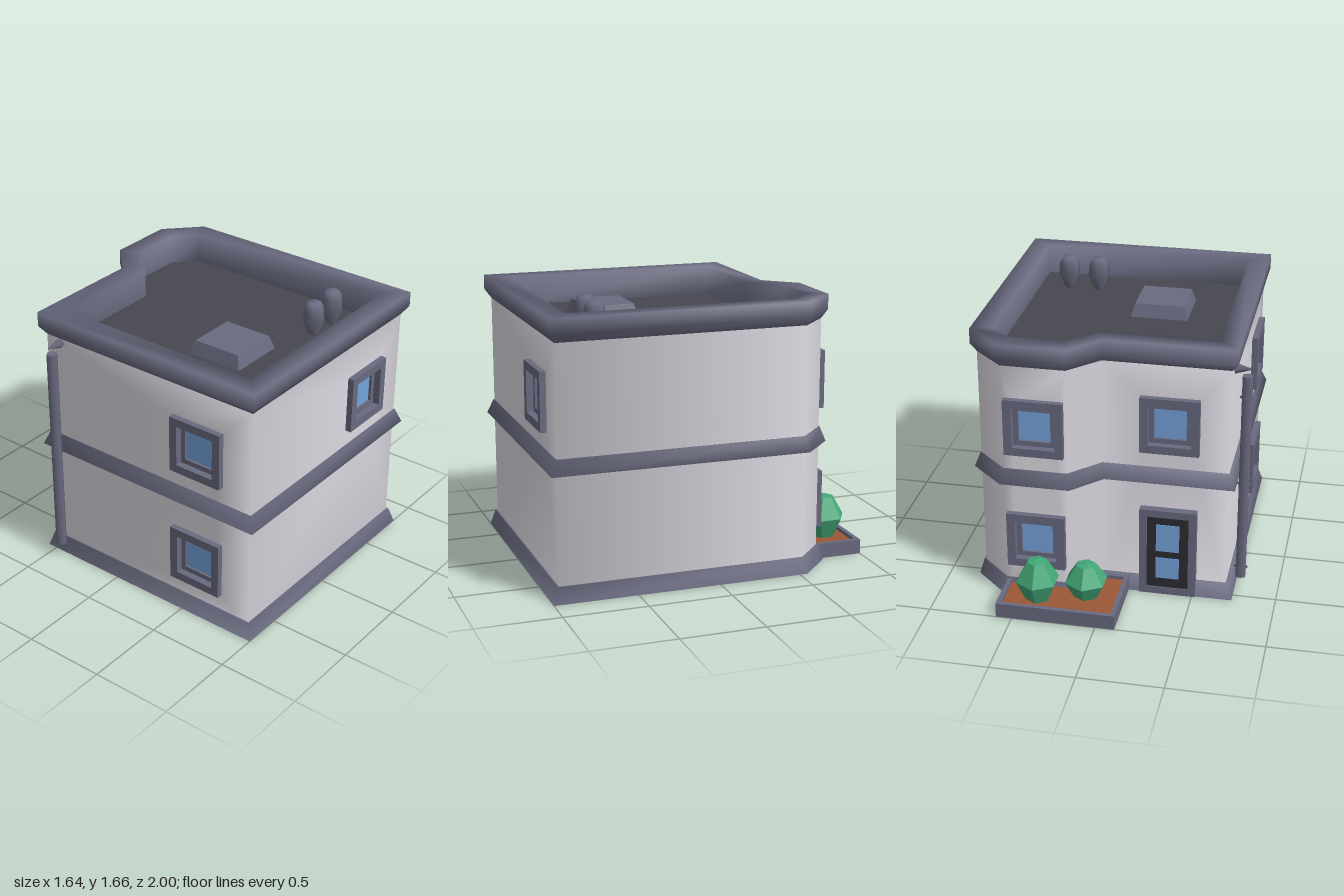
import * as THREE from 'three';

const mat = (name, color, side = THREE.FrontSide) => Object.assign(new THREE.MeshStandardMaterial({ color, side }), { name });
const M = {
  plaster: mat('plaster', 0xdfdce4, THREE.DoubleSide),
  trim: mat('slate trim', 0x696a7f),
  roof: mat('dark roof', 0x47474f),
  door: mat('door black', 0x2c2c33),
  glass: mat('window glass', 0x74a3dc),
  leaf: mat('leaf green', 0x42a878),
  soil: mat('soil', 0x9c5838),
};

// Footprint of the walls as [x, z]; the back has a projecting bay
const PLAN = [[-0.70, 0.96], [0.78, 0.96], [0.78, -0.53], [0.60, -0.70], [0.22, -0.70], [0.05, -0.52], [-0.70, -0.52]]
  .map(([x, z]) => new THREE.Vector2(x, z));
const N = PLAN.length;
const WALL_TOP = 1.495, DECK = 1.45;

// Each wall: start corner, direction, length and outward normal
const WALLS = PLAN.map((start, i) => {
  const dir = PLAN[(i + 1) % N].clone().sub(start);
  const length = dir.length();
  dir.normalize();
  return { start, dir, length, normal: new THREE.Vector2(-dir.y, dir.x) };
});

// Corner mitres, scaled so that an offset of one moves both walls by one
const MITRES = WALLS.map(({ normal }, i) => {
  const before = WALLS[(i + N - 1) % N].normal;
  return normal.clone().add(before).divideScalar(1 + normal.dot(before));
});
const offsetPlan = (d) => PLAN.map((p, i) => p.clone().addScaledVector(MITRES[i], d));

// Windows as [wall number, distance along the wall, height of the centre]
const WINDOWS = [[0, 1.11, 1.115], [3, 0.19, 0.375], [3, 0.19, 1.115], [5, 0.40, 1.115], [6, 1.11, 0.375], [6, 1.11, 1.115]];

const rect = (S, w, h, x = 0, y = 0) => new S([[-1, -1], [1, -1], [1, 1], [-1, 1]]
  .map(([a, b]) => new THREE.Vector2(x + a * w / 2, y + b * h / 2)));

// One wall with window openings; normals blend softly around the house corners
function wallGeometry(i) {
  const { start, dir, length, normal } = WALLS[i];
  const shape = rect(THREE.Shape, length, WALL_TOP, length / 2, WALL_TOP / 2);
  for (const [wall, u, y] of WINDOWS) if (wall === i) shape.holes.push(rect(THREE.Path, 0.27, 0.27, u, y));
  const g = new THREE.ShapeGeometry(shape);
  const pos = g.attributes.position, nor = g.attributes.normal;
  for (let v = 0; v < pos.count; v++) {
    const u = pos.getX(v);
    const n = u < 0.001 ? MITRES[i] : u > length - 0.001 ? MITRES[(i + 1) % N] : normal;
    const unit = n.clone().normalize();
    nor.setXYZ(v, unit.x, 0, unit.y);
    pos.setXYZ(v, start.x + dir.x * u, pos.getY(v), start.y + dir.y * u);
  }
  return g;
}

// Sweep an open [offset, y] profile around the footprint, softly shaded
function band(profile) {
  const pos = [], index = [];
  profile.forEach(([d, y], j) => {
    offsetPlan(d).forEach((p, i) => {
      pos.push(p.x, y, p.y);
      if (j === 0) return;
      const k = (i + 1) % N, lo = (j - 1) * N, hi = j * N;
      index.push(lo + i, lo + k, hi + k, lo + i, hi + k, hi + i);
    });
  });
  const g = new THREE.BufferGeometry();
  g.setAttribute('position', new THREE.Float32BufferAttribute(pos, 3));
  g.setIndex(index);
  g.computeVertexNormals();
  return g;
}

// Flat sheet following the footprint, facing up (1) or down (-1)
function sheet(d, facing) {
  const shape = new THREE.Shape(offsetPlan(d).map((p) => new THREE.Vector2(p.x, -facing * p.y)));
  return new THREE.ShapeGeometry(shape).rotateX(-facing * Math.PI / 2);
}

// Rectangular frame, standing in the xy plane, growing toward +z
function frame(w, h, t, depth) {
  const s = rect(THREE.Shape, w, h);
  s.holes.push(rect(THREE.Path, w - 2 * t, h - 2 * t));
  return new THREE.ExtrudeGeometry(s, { depth, bevelEnabled: false });
}

const lathe = (pts, sides) => new THREE.LatheGeometry(pts.map(([r, y]) => new THREE.Vector2(r, y)), sides);

function faceted(geometry) {
  const g = geometry.toNonIndexed();
  g.computeVertexNormals();
  return g;
}

function add(parent, name, geometry, material, x = 0, y = 0, z = 0) {
  const m = new THREE.Mesh(geometry, material);
  m.name = name;
  m.position.set(x, y, z);
  parent.add(m);
  return m;
}

// Group standing on a wall, its +z pointing outward
function onWall(parent, name, i, u, y) {
  const { start, dir, normal } = WALLS[i];
  const g = new THREE.Group();
  g.name = name;
  g.position.set(start.x + dir.x * u, y, start.y + dir.y * u);
  g.rotation.y = Math.atan2(normal.x, normal.y);
  parent.add(g);
  return g;
}

export function createModel() {
  const model = new THREE.Group();
  model.name = 'townHouse';

  // Shell, roof and the three surrounding mouldings
  for (let i = 0; i < N; i++) add(model, 'wall', wallGeometry(i), M.plaster);
  add(model, 'roofDeck', sheet(-0.088, 1), M.roof, 0, DECK, 0);
  add(model, 'underside', sheet(0.04, -1), M.trim);
  add(model, 'baseMoulding', band([[0.04, 0], [0.012, 0.095], [0, 0.095]]), M.trim);
  add(model, 'middleMoulding', band([[0, 0.745], [0.04, 0.745], [0.005, 0.835], [0, 0.835]]), M.trim);
  add(model, 'parapet', band([[0, 1.488], [0.036, 1.54], [0.036, 1.63], [-0.088, 1.63], [-0.088, DECK]]), M.trim);

  // Windows with recessed panes
  for (const [wall, u, y] of WINDOWS) {
    const g = onWall(model, 'window', wall, u, y);
    add(g, 'windowFrame', frame(0.35, 0.35, 0.05, 0.067), M.trim, 0, 0, -0.03);
    add(g, 'windowSash', frame(0.25, 0.25, 0.03, 0.025), M.trim, 0, 0, -0.03);
    add(g, 'windowPane', new THREE.BoxGeometry(0.2, 0.2, 0.006), M.glass, 0, 0, -0.024);
  }

  // Back door
  const door = onWall(model, 'door', 5, 0.40, 0);
  add(door, 'doorFrame', frame(0.34, 0.57, 0.045, 0.05), M.trim, 0, 0.286, 0);
  add(door, 'doorLeaf', new THREE.BoxGeometry(0.26, 0.52, 0.04), M.door, 0, 0.275, 0.022);
  add(door, 'upperDoorPane', new THREE.BoxGeometry(0.14, 0.18, 0.006), M.glass, 0, 0.385, 0.043);
  add(door, 'lowerDoorPane', new THREE.BoxGeometry(0.14, 0.14, 0.006), M.glass, 0, 0.18, 0.043);

  // Drainpipe with collars and a roof spout
  const pipe = new THREE.Group();
  pipe.name = 'drainpipe';
  add(pipe, 'pipe', new THREE.CylinderGeometry(0.033, 0.033, 1.325, 6), M.trim, 0, 0.757, 0);
  for (const y of [0.16, 0.725, 1.285])
    add(pipe, 'pipeCollar', lathe([[0.02, -0.022], [0.045, 0], [0.02, 0.022]], 4), M.trim, 0, y, 0);
  const spout = add(pipe, 'roofSpout', new THREE.ConeGeometry(0.036, 0.11, 4), M.trim, 0.022, 1.462, 0);
  spout.rotation.z = Math.PI / 2;
  pipe.position.set(-0.775, 0, -0.42);
  model.add(pipe);

  // Planter against the bay
  const planter = new THREE.Group();
  planter.name = 'planter';
  add(planter, 'planterRim', frame(0.71, 0.46, 0.028, 0.09).rotateX(-Math.PI / 2), M.trim, 0.24, 0, -0.77);
  add(planter, 'planterSoil', new THREE.BoxGeometry(0.67, 0.05, 0.42), M.soil, 0.24, 0.045, -0.77);
  add(planter, 'planterBase', new THREE.BoxGeometry(0.69, 0.02, 0.44), M.trim, 0.24, 0.011, -0.77);
  const bushShape = faceted(lathe([[0, 0], [0.075, 0.005], [0.132, 0.13], [0.06, 0.255], [0, 0.265]], 6));
  for (const [x, z, h] of [[0.10, -0.77, 0.84], [0.375, -0.85, 1]])
    add(planter, 'bush', bushShape, M.leaf, x, 0.065, z).scale.y = h;
  model.add(planter);

  // Rooftop hatch and chimney pots
  const hatch = faceted(new THREE.CylinderGeometry(0.15 * Math.SQRT2, 0.175 * Math.SQRT2, 0.08, 4).rotateY(Math.PI / 4));
  add(model, 'roofHatch', hatch, M.trim, -0.145, DECK + 0.04, 0.405);
  for (const x of [0.315, 0.505])
    add(model, 'chimneyPot', lathe([[0.03, 0], [0.07, 0.1], [0.062, 0.175], [0.042, 0.205], [0, 0.21]], 6), M.trim, x, DECK, 0.65);

  return model;
}
